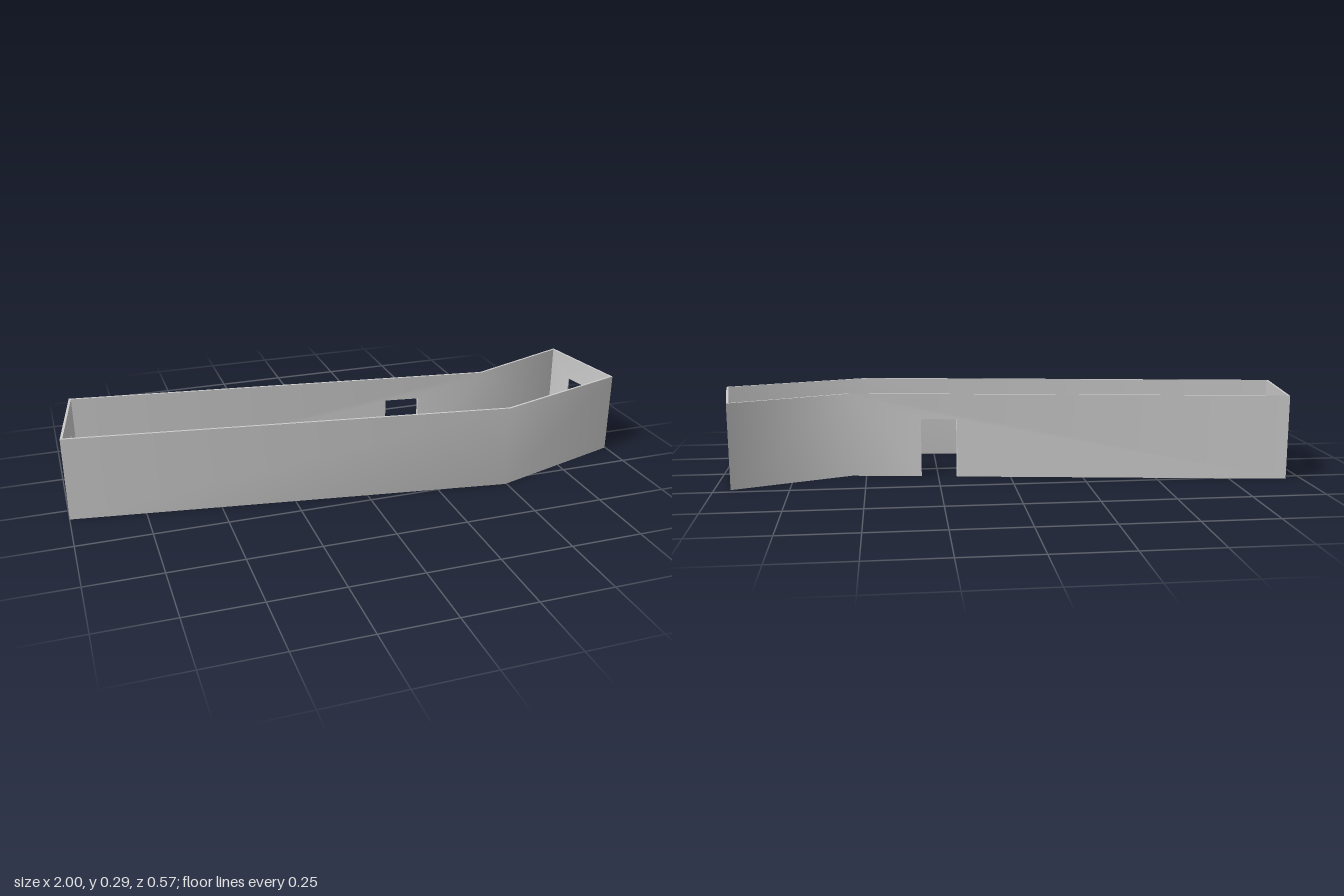
import * as THREE from 'three';
import { mergeGeometries, toCreasedNormals } from 'three/addons/utils/BufferGeometryUtils.js';

const HEIGHT = 0.292;
const THICKNESS = 0.008;

// Outer corners of the plan as [x, z], front wall first, running towards +x
const PLAN = [
  [-1, 0.065], [0.495, 0.287], [0.997, 0.128], [0.945, -0.225], [0.55, -0.073], [-0.945, -0.287],
].map(([x, z]) => new THREE.Vector2(x, z));

// Openings by wall index: [start, end] as a share of the wall length, [bottom, top] in height
const OPENINGS = {
  2: { along: [0.38, 0.68], y: [0.125, 0.205] }, // left end window
  4: { along: [0.162, 0.245], y: [0, 0.205] },   // back doorway
  5: { along: [0.33, 0.63], y: [0.125, 0.205] }, // right end window
};

const at = (list, i) => list[(i + list.length) % list.length];

// Inner corners, mitred so that every wall keeps the same thickness
const INNER = PLAN.map((p, i) => {
  const inward = (a, b) => {
    const d = b.clone().sub(a).normalize();
    return new THREE.Vector2(d.y, -d.x);
  };
  const n1 = inward(at(PLAN, i - 1), p);
  const n2 = inward(p, at(PLAN, i + 1));
  return n1.clone().add(n2).multiplyScalar(THICKNESS / (1 + n1.dot(n2))).add(p);
});

const points = (list) => list.map(([x, y]) => new THREE.Vector2(x, y));

// A flat panel with its opening, extruded and then fitted between the inner and outer corners
function wall(i) {
  const opening = OPENINGS[i];
  let outline = [[0, 0], [1, 0], [1, HEIGHT], [0, HEIGHT]];
  let hole = null;
  if (opening) {
    const [a, b] = opening.along;
    const [low, high] = opening.y;
    if (low > 0) hole = [[a, low], [a, high], [b, high], [b, low]];
    else outline = [[0, 0], [a, 0], [a, high], [b, high], [b, 0], ...outline.slice(1)];
  }
  const shape = new THREE.Shape(points(outline));
  if (hole) shape.holes.push(new THREE.Path(points(hole)));
  const geometry = new THREE.ExtrudeGeometry(shape, { depth: 1, bevelEnabled: false });

  const mix = (a, b, t) => a * (1 - t) + b * t;
  const pos = geometry.attributes.position;
  const [o1, o2, n1, n2] = [PLAN[i], at(PLAN, i + 1), INNER[i], at(INNER, i + 1)];
  for (let k = 0; k < pos.count; k++) {
    const u = pos.getX(k);
    const d = pos.getZ(k);
    pos.setX(k, mix(mix(n1.x, o1.x, d), mix(n2.x, o2.x, d), u));
    pos.setZ(k, mix(mix(n1.y, o1.y, d), mix(n2.y, o2.y, d), u));
  }
  geometry.computeVertexNormals();
  return geometry;
}

export function createModel() {
  const group = new THREE.Group();
  group.name = 'bentCorridor';

  // One closed ring of walls, softly shaded over the bends and sharp at the ends
  const ring = mergeGeometries(PLAN.map((_, i) => wall(i)));
  const walls = new THREE.Mesh(
    toCreasedNormals(ring, 0.75),
    new THREE.MeshStandardMaterial({ color: 0xcccccc }),
  );
  walls.name = 'walls';
  group.add(walls);
  return group;
}
